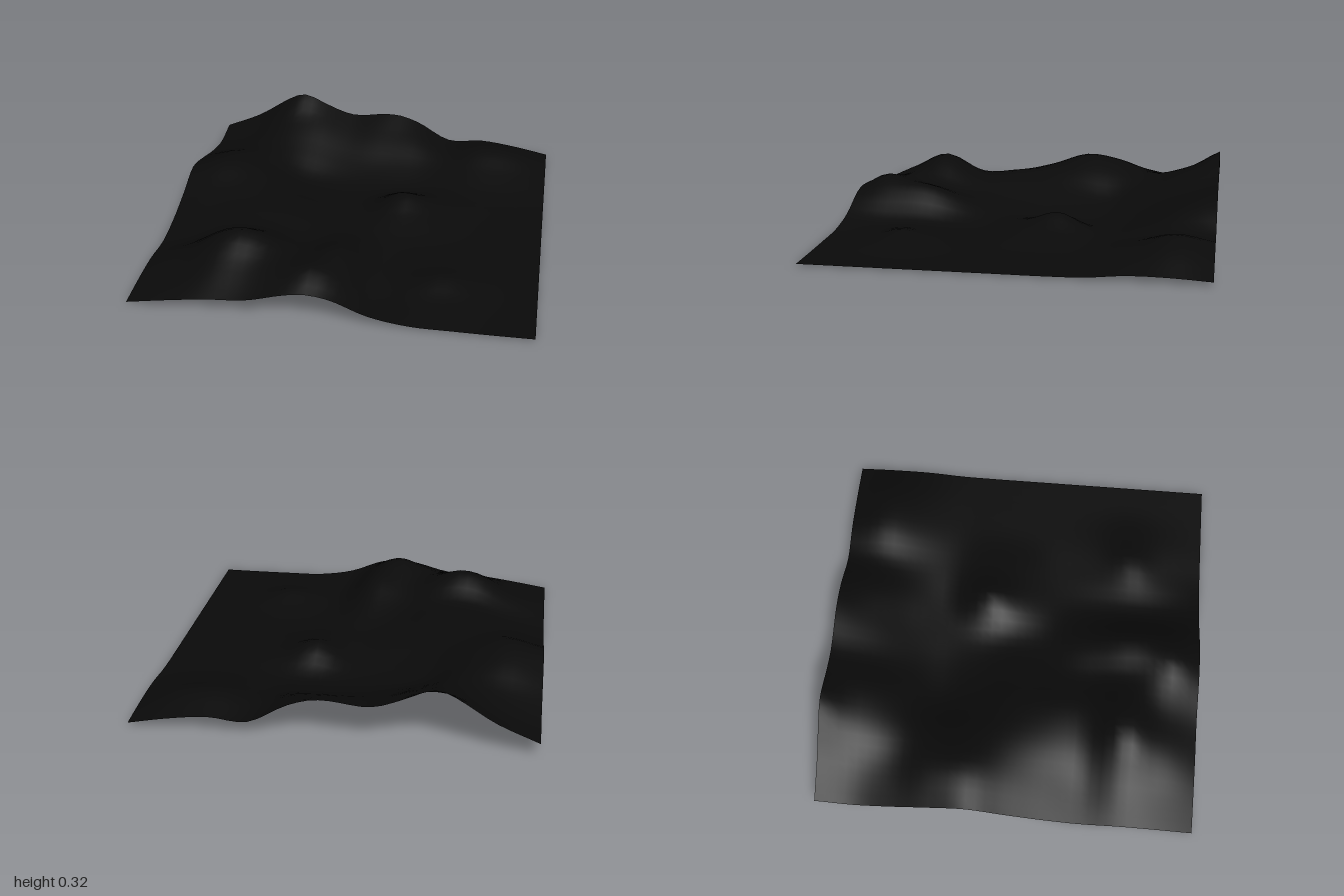
import * as THREE from 'three';

// Terrain heights in hundredths: rows run back to front (z), columns x = -1 to 1, every 0.2
const HEIGHTS = [
  [7.5, 16, 27, 26.5, 20.5, 21.5, 18, 7.5, 8.5, 6, 2],
  [5, 11, 19.5, 20, 14, 14, 13, 8, 12.5, 10.5, 3],
  [8, 12, 14.5, 11.5, 6.5, 5, 5, 4.5, 7, 6, 3],
  [13, 18.5, 14.5, 4.5, 1, 0.3, 0.8, 2, 2.5, 2, 1.2],
  [16.5, 21, 16, 7.5, 2.5, 1.5, 8.5, 5, 2, 1.2, 0.8],
  [10, 15, 15.5, 12, 6.5, 3, 6, 4, 1.5, 1, 0.8],
  [4.5, 10, 14.5, 14, 8, 4.5, 2.5, 1.5, 1.3, 1, 0.8],
  [1.5, 6.5, 13.5, 14.5, 9.5, 10.5, 2.2, 2, 2, 1, 0.8],
  [3, 11, 21.5, 20.5, 14, 17, 3, 3.5, 4, 1.3, 0.8],
  [2.5, 8, 15.5, 15.5, 17.5, 17, 3, 2, 2, 1, 0.8],
  [1, 4, 6.5, 8, 12.5, 12.5, 5, 1.5, 1, 0.8, 0.8],
];

// Sharper summits added on top: x, z, height, radius
const SUMMITS = [
  [-0.5, -1, 0.04, 0.1],
  [0.08, -1, 0.012, 0.1],
  [-0.5, 0.63, 0.025, 0.12],
  [-0.12, 0.88, 0.035, 0.1],
  [0.5, 0.61, 0.025, 0.1],
  [0.23, -0.15, 0.025, 0.1],
];

// Smooth curve through evenly spaced values, t from 0 to 1
function spline(values, t) {
  const last = values.length - 1;
  const i = Math.min(Math.floor(t * last), last - 1);
  const f = t * last - i;
  const b = values[i], c = values[i + 1];
  const a = i > 0 ? values[i - 1] : 2 * b - c;
  const d = i + 2 <= last ? values[i + 2] : 2 * c - b;
  return b + 0.5 * f * (c - a + f * (2 * a - 5 * b + 4 * c - d + f * (3 * (b - c) + d - a)));
}

function heightAt(x, z) {
  const u = THREE.MathUtils.clamp((x + 1) / 2, 0, 1);
  const v = THREE.MathUtils.clamp((z + 1) / 2, 0, 1);
  let y = spline(HEIGHTS.map((row) => spline(row, u)), v) / 100;
  for (const [sx, sz, height, radius] of SUMMITS) {
    y += height * Math.exp(-((x - sx) ** 2 + (z - sz) ** 2) / radius ** 2);
  }
  return Math.max(0, y);
}

export function createModel() {
  const group = new THREE.Group();
  group.name = 'landscape';

  // Thin rolling ground sheet, open underneath
  const geometry = new THREE.PlaneGeometry(2, 2, 40, 40).rotateX(-Math.PI / 2);
  const pos = geometry.attributes.position;
  for (let i = 0; i < pos.count; i++) {
    pos.setY(i, heightAt(pos.getX(i), pos.getZ(i)));
  }
  geometry.computeVertexNormals();

  const material = new THREE.MeshStandardMaterial({ color: 0x0a0a0a, side: THREE.DoubleSide });
  const terrain = new THREE.Mesh(geometry, material);
  terrain.name = 'terrain';
  group.add(terrain);
  return group;
}
